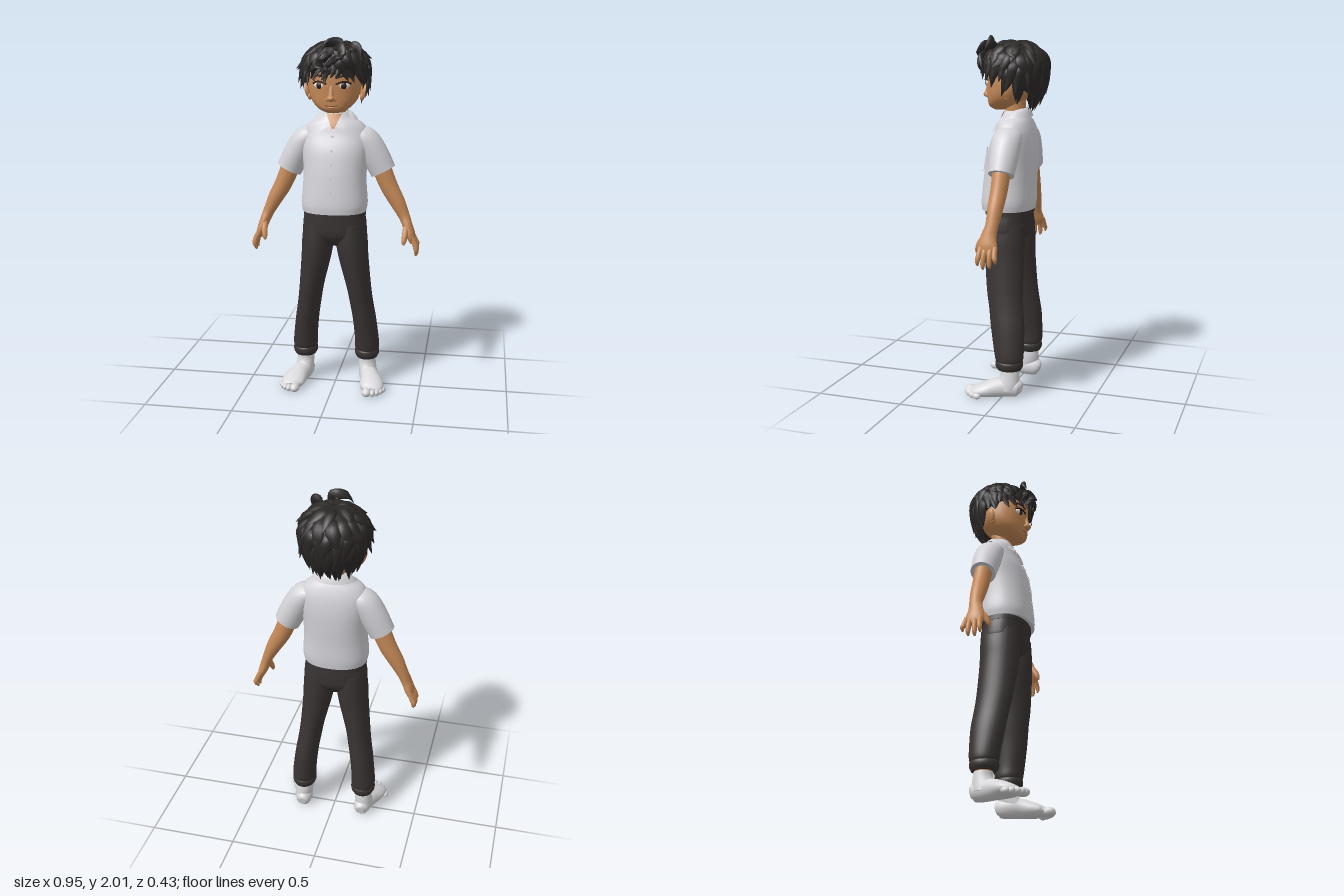
import * as THREE from 'three';
import { mergeGeometries, mergeVertices } from 'three/addons/utils/BufferGeometryUtils.js';

const material = (name, color, side = THREE.FrontSide) =>
  Object.assign(new THREE.MeshStandardMaterial({ color, side }), { name });
const V = (x, y, z) => new THREE.Vector3(x, y, z);
const se = (c, n) => Math.sign(c) * Math.pow(Math.abs(c), 2 / n);

// Smooth position and size curves through rings [x, y, z, halfWidth, halfDepth]
function ringCurves(keys) {
  const curve = f => new THREE.CatmullRomCurve3(keys.map(f), false, 'catmullrom', 0.5);
  return [curve(k => V(k[0], k[1], k[2])), curve(k => V(k[3], k[4], 0))];
}

// Closed skin over elliptical rings; flat keeps the rings level
function loft(keys, { seg = 24, sub = 4, flat = false, pow = 2, ref = V(1, 0, 0) } = {}) {
  const [path, size] = ringCurves(keys), n = (keys.length - 1) * sub, pos = [], idx = [];
  for (let i = 0; i <= n; i++) {
    const p = path.getPoint(i / n), s = size.getPoint(i / n);
    const t = flat ? V(0, -1, 0) : path.getTangent(i / n);
    const u = ref.clone().addScaledVector(t, -ref.dot(t)).normalize(), v = t.clone().cross(u);
    for (let j = 0; j < seg; j++) {
      const a = (j / seg) * Math.PI * 2;
      const q = p.clone().addScaledVector(u, Math.max(s.x, 0.001) * se(Math.cos(a), pow))
        .addScaledVector(v, Math.max(s.y, 0.001) * se(Math.sin(a), pow));
      pos.push(q.x, q.y, q.z);
      if (i < n) {
        const k = (j + 1) % seg, A = i * seg + j, B = i * seg + k;
        idx.push(A, B, B + seg, A, B + seg, A + seg);
      }
    }
  }
  // end caps
  for (const i of [0, n]) {
    const base = pos.length / 3, p = path.getPoint(i / n);
    for (let j = 0; j < seg; j++) pos.push(...pos.slice((i * seg + j) * 3, (i * seg + j) * 3 + 3));
    pos.push(p.x, p.y, p.z);
    for (let j = 0; j < seg; j++) {
      const k = (j + 1) % seg;
      idx.push(base + seg, base + (i ? j : k), base + (i ? k : j));
    }
  }
  return finish(pos, idx);
}

function finish(pos, idx) {
  const g = new THREE.BufferGeometry();
  g.setAttribute('position', new THREE.Float32BufferAttribute(pos, 3));
  g.setIndex(idx);
  g.computeVertexNormals();
  return g;
}

// Sheet from a function f(u, v) -> [x, y, z]
function sheet(f, nu, nv) {
  const pos = [], idx = [];
  for (let j = 0; j <= nv; j++) for (let i = 0; i <= nu; i++) {
    pos.push(...f(i / nu, j / nv));
    if (i < nu && j < nv) {
      const a = j * (nu + 1) + i, b = a + nu + 1;
      idx.push(a, a + 1, b + 1, a, b + 1, b);
    }
  }
  return finish(pos, idx);
}

// Front z of a level loft at (x, y)
function frontZ(keys, pow, x, y) {
  const [path, size] = ringCurves(keys);
  let lo = 0, hi = 1;
  for (let i = 0; i < 24; i++) {
    const m = (lo + hi) / 2;
    if (path.getPoint(m).y > y) lo = m; else hi = m;
  }
  const s = size.getPoint(lo), r = Math.min(1, Math.abs(x / s.x));
  return path.getPoint(lo).z + s.y * Math.pow(1 - Math.pow(r, pow), 1 / pow);
}

function blob(x, y, z, rx, ry, rz, yaw = 0, roll = 0) {
  return new THREE.SphereGeometry(1, 20, 14).scale(rx, ry, rz).rotateZ(roll).rotateY(yaw).translate(x, y, z);
}

function tube(points, r, seg = 12) {
  return new THREE.TubeGeometry(new THREE.CatmullRomCurve3(points.map(p => V(...p))), seg, r, 6);
}

function mirror(geo) {
  const g = geo.clone().scale(-1, 1, 1), ix = g.index.array;
  for (let i = 0; i < ix.length; i += 3) [ix[i], ix[i + 1]] = [ix[i + 1], ix[i]];
  return g;
}

// Hair shell: azimuth a (sin a = 1 at the front), polar angle p, radius factor r
const hairPoint = (a, p, r) => V(
  -0.185 * r * Math.cos(a) * Math.sin(p),
  1.83 + (Math.cos(p) > 0 ? 0.147 : 0.24) * r * Math.cos(p),
  -0.01 + 0.177 * r * Math.sin(a) * Math.sin(p));
const hairEnd = a => 1.92 - (Math.sin(a) > 0 ? 0.27 : 0.63) * Math.sin(a);

function buildHair() {
  let seed = 7;
  const rnd = () => (seed = (seed * 16807) % 2147483647) / 2147483647;
  // scalp cap, tucked in along its lower edge
  let cap = new THREE.SphereGeometry(1, 40, 24);
  const P = cap.attributes.position, U = cap.attributes.uv;
  for (let i = 0; i < P.count; i++) {
    const a = U.getX(i) * Math.PI * 2, v = Math.min(1, Math.max(0, Math.round((1 - U.getY(i)) * 24) / 24));
    const q = hairPoint(a, v * hairEnd(a) * 0.95, v > 0.97 ? 0.5 : 0.97);
    P.setXYZ(i, q.x, q.y, q.z);
  }
  cap.deleteAttribute('uv'); cap.deleteAttribute('normal');
  cap = mergeVertices(cap);
  cap.computeVertexNormals();
  const parts = [cap];
  const lock = (pts, w, ref) => {
    const ws = [0.55, 1, 0.8, 0.06];
    parts.push(loft(pts.map((p, i) => [p.x, p.y, p.z, w * ws[i], w * 0.5 * ws[i]]), { seg: 8, sub: 4, ref }));
  };
  // tiers of pointed locks flowing out from the crown
  const tiers = [[9, 0.04, 0.48, 0.034], [15, 0.22, 0.68, 0.034], [21, 0.42, 0.86, 0.032], [27, 0.58, 1.02, 0.028], [27, 0.7, 1.1, 0.022]];
  tiers.forEach(([n, from, to, w], k) => {
    for (let i = 0; i < n; i++) {
      const a = ((i + 0.5 * (k % 2) + (rnd() - 0.5) * 0.5) / n) * Math.PI * 2, e = hairEnd(a);
      const bend = (rnd() - 0.5) * 0.55, lift = (k ? 0.05 : 0) + rnd() * 0.11, f0 = from + rnd() * 0.05, f1 = to - rnd() * 0.08;
      const pts = [0, 0.35, 0.7, 1].map((t, j) =>
        hairPoint(a + bend * t * t, (f0 + (f1 - f0) * t) * e, [0.94, 1.0, 1.02, 1.01 + lift][j]));
      lock(pts, w * (0.85 + rnd() * 0.3), V(Math.sin(a), 0, Math.cos(a)));
    }
  });
  // curled tuft and long fringe sweeping over the forehead
  const sweep = [
    [[0.06, 1.92, 0.14], [0.04, 1.98, 0.12], [-0.03, 1.975, 0.14], [-0.06, 1.92, 0.175]],
    [[0.0, 1.95, 0.1], [0.05, 1.96, 0.15], [0.06, 1.91, 0.18], [0.0, 1.87, 0.195]],
    [[0.0, 1.92, 0.15], [-0.04, 1.89, 0.175], [-0.08, 1.85, 0.17], [-0.11, 1.79, 0.15]],
    [[0.02, 1.91, 0.15], [0.0, 1.88, 0.18], [-0.03, 1.84, 0.18], [-0.06, 1.8, 0.17]],
    [[0.04, 1.92, 0.15], [0.08, 1.89, 0.165], [0.11, 1.85, 0.15], [0.12, 1.79, 0.135]],
    [[0.02, 1.91, 0.15], [0.04, 1.88, 0.18], [0.06, 1.85, 0.18], [0.045, 1.81, 0.175]],
    [[0.08, 1.93, 0.08], [0.11, 1.96, 0.09], [0.14, 1.95, 0.1], [0.155, 1.91, 0.12]]];
  sweep.forEach(s => lock(s.map(p => V(...p)), 0.028, V(0.6, 0.8, 0.1)));
  return mergeGeometries(parts.map(g => { g.deleteAttribute('uv'); return g; }));
}

export function createModel() {
  const model = new THREE.Group();
  const skin = material('skin', 0xc68a58, THREE.DoubleSide), shirt = material('shirt white', 0xd3d3d8, THREE.DoubleSide);
  const sock = material('sock white', 0xd8d8da), pants = material('trouser charcoal', 0x3a3434, THREE.DoubleSide);
  const hair = material('hair black', 0x2b2727), white = material('eye white', 0xe6e0da);
  const iris = material('iris brown', 0x2c1c16), lip = material('lip', 0x8f5238);
  const add = (name, geo, mat) => {
    const m = new THREE.Mesh(geo, mat);
    m.name = name;
    model.add(m);
  };
  const pair = (name, geo, mat) => { add(name + 'Left', geo, mat); add(name + 'Right', mirror(geo), mat); };

  // head
  const headKeys = [[0, 1.93, 0, 0.08, 0.08], [0, 1.86, 0, 0.132, 0.146], [0, 1.78, 0.006, 0.143, 0.147], [0, 1.71, 0.016, 0.139, 0.133],
    [0, 1.66, 0.04, 0.118, 0.106], [0, 1.625, 0.063, 0.08, 0.077], [0, 1.605, 0.075, 0.035, 0.04]];
  const face = (x, y) => frontZ(headKeys, 2.15, x, y);
  add('head', loft(headKeys, { seg: 36, flat: true, pow: 2.15 }), skin);
  add('nose', blob(0, 1.688, 0.153, 0.022, 0.018, 0.027), skin);
  add('noseBridge', loft([[0, 1.765, 0.142, 0.008, 0.008], [0, 1.73, 0.15, 0.012, 0.012], [0, 1.69, 0.16, 0.016, 0.014]], { seg: 12 }), skin);
  pair('nostril', blob(0.018, 1.683, 0.149, 0.012, 0.011, 0.014), skin);
  pair('ear', blob(0.153, 1.715, -0.02, 0.016, 0.047, 0.034, 0.45, -0.2), skin);
  pair('earLobe', blob(0.146, 1.682, -0.008, 0.012, 0.02, 0.018), skin);
  pair('eyeball', blob(0.065, 1.756, 0.129, 0.034, 0.02, 0.016, 0.3), white);
  pair('iris', blob(0.065, 1.756, 0.1345, 0.02, 0.019, 0.013, 0.25), iris);
  const arc = (f, off) => [0.025, 0.045, 0.065, 0.085, 0.103].map((x, i) => [x, f(i), face(x, f(i)) + off]);
  pair('eyelash', tube(arc(i => 1.763 + [0, 0.01, 0.014, 0.011, 0.002][i], 0.003), 0.005), iris);
  pair('eyebrow', tube(arc(i => 1.797 + [0, 0.007, 0.011, 0.01, 0.002][i], 0), 0.006), hair);
  add('mouth', tube([-0.035, -0.018, 0, 0.018, 0.035].map((x, i) => [x, 1.647 + [0.004, 0, -0.001, 0, 0.004][i], face(x, 1.647)]), 0.003), lip);
  add('lowerLip', blob(0, 1.638, 0.138, 0.02, 0.008, 0.012), skin);
  add('hair', buildHair(), hair);
  add('neck', loft([[0, 1.69, -0.01, 0.06, 0.06], [0, 1.6, -0.008, 0.056, 0.056], [0, 1.5, -0.01, 0.06, 0.058]], { flat: true }), skin);

  // shirt
  const shirtKeys = [[0, 1.6, -0.01, 0.066, 0.058], [0, 1.57, -0.012, 0.1, 0.073], [0, 1.535, -0.012, 0.155, 0.09], [0, 1.48, -0.012, 0.185, 0.108],
    [0, 1.4, 0, 0.188, 0.13], [0, 1.3, 0.012, 0.178, 0.14], [0, 1.2, 0.022, 0.178, 0.144], [0, 1.1, 0.028, 0.186, 0.148], [0, 1.05, 0.03, 0.179, 0.144]];
  const chest = (x, y, off) => [x, y, frontZ(shirtKeys, 2.3, x, y) + off];
  add('shirtBody', loft(shirtKeys, { seg: 40, flat: true, pow: 2.3 }), shirt);
  pair('sleeve', loft([[0.12, 1.475, -0.015, 0.05, 0.075], [0.17, 1.445, -0.015, 0.072, 0.083], [0.22, 1.365, -0.015, 0.077, 0.08],
    [0.268, 1.272, -0.015, 0.073, 0.071]]), shirt);
  add('placket', sheet((u, v) => chest(-0.022 + 0.044 * u, 1.055 + 0.46 * v, 0.007), 4, 24), shirt);
  add('openNeck', sheet((u, v) => chest((u - 0.5) * (0.01 + 0.075 * v), 1.51 + 0.085 * v, 0.004), 6, 8), skin);
  add('chestPocket', sheet((u, v) => {
    const low = 1.268 + 0.025 * Math.abs(2 * u - 1);
    return chest(0.055 + 0.1 * u, low + (1.395 - low) * v, 0.007);
  }, 8, 8), shirt);
  add('pocketHem', sheet((u, v) => chest(0.053 + 0.104 * u, 1.375 + 0.022 * v, 0.01), 8, 2), shirt);
  for (let i = 0; i < 6; i++) {
    const [x, y, z] = chest(0, 1.1 + i * 0.075, 0.008);
    add('button' + (i + 1), new THREE.CylinderGeometry(0.006, 0.006, 0.005, 10).rotateX(Math.PI / 2).translate(x, y, z), shirt);
  }
  // collar wraps the neck and falls to two points
  add('collar', sheet((s, t) => {
    const a = (2 * s - 1) * Math.PI * 0.96, k = Math.pow((1 - Math.cos(a)) / 2, 2), b = a * 0.8;
    const top = V(0.07 * Math.sin(a), 1.615 - 0.085 * k, -0.012 - 0.068 * Math.cos(a) + 0.032 * k);
    const low = V(0.125 * Math.sin(b), 1.57 - 0.085 * k * k, -0.012 - 0.092 * Math.cos(b) + 0.045 * k);
    const p = top.lerp(low, t);
    p.y += 0.01 * Math.sin(Math.PI * t);
    return [p.x, p.y, p.z];
  }, 48, 5), shirt);

  // arms and hands
  pair('arm', loft([[0.25, 1.31, -0.015, 0.054, 0.05], [0.3, 1.19, -0.014, 0.05, 0.046], [0.35, 1.1, -0.01, 0.043, 0.042],
    [0.39, 1.02, -0.006, 0.032, 0.036], [0.412, 0.965, 0.004, 0.028, 0.043], [0.43, 0.915, 0.006, 0.026, 0.054], [0.442, 0.875, 0.004, 0.016, 0.046]]), skin);
  [[0.04, 0.05, 0.815], [0.015, 0.02, 0.797], [-0.014, -0.016, 0.803], [-0.038, -0.048, 0.83]].forEach(([z0, z1, y], i) =>
    pair('finger' + (i + 1), loft([[0.435, 0.915, z0, 0.014, 0.014], [0.457, 0.868, (z0 + z1) / 2, 0.015, 0.014],
      [0.464, y + 0.022, z1, 0.013, 0.012], [0.459, y, z1, 0.005, 0.005]], { seg: 10 }), skin));
  pair('thumb', loft([[0.405, 0.965, 0.025, 0.017, 0.018], [0.402, 0.925, 0.055, 0.017, 0.018], [0.397, 0.89, 0.073, 0.014, 0.013],
    [0.395, 0.87, 0.079, 0.005, 0.005]], { seg: 10 }), skin);

  // trousers
  const hipKeys = [[0, 1.09, 0.024, 0.168, 0.128], [0, 1.03, 0.023, 0.172, 0.124], [0, 0.97, 0.022, 0.18, 0.122], [0, 0.91, 0.022, 0.172, 0.113],
    [0, 0.855, 0.022, 0.08, 0.07]];
  const hip = (x, y, off) => [x, y, frontZ(hipKeys, 2.3, x, y) + off];
  add('trouserHips', loft(hipKeys, { seg: 36, flat: true, pow: 2.3 }), pants);
  add('waistband', loft([[0, 1.065, 0.024, 0.174, 0.131], [0, 1.025, 0.024, 0.176, 0.13]], { seg: 36, flat: true, pow: 2.3 }), pants);
  add('fly', sheet((u, v) => hip(0.03 * u - 0.005, 0.91 + 0.12 * v, 0.006), 2, 6), pants);
  pair('trouserLeg', loft([[0.092, 0.98, 0.022, 0.084, 0.112], [0.097, 0.88, 0.022, 0.09, 0.115], [0.107, 0.78, 0.021, 0.085, 0.112],
    [0.137, 0.6, 0.009, 0.07, 0.104], [0.152, 0.5, -0.004, 0.067, 0.099], [0.168, 0.4, -0.017, 0.067, 0.097], [0.181, 0.28, -0.028, 0.069, 0.087],
    [0.183, 0.225, -0.032, 0.071, 0.081], [0.183, 0.203, -0.032, 0.066, 0.073]], { seg: 28, flat: true }), pants);
  pair('trouserCuff', loft([[0.183, 0.215, -0.032, 0.062, 0.07], [0.183, 0.2, -0.032, 0.071, 0.079], [0.183, 0.178, -0.032, 0.07, 0.078],
    [0.183, 0.158, -0.032, 0.06, 0.068]], { seg: 28, flat: true }), pants);

  // ankles and socked feet
  pair('ankle', loft([[0.185, 0.2, -0.035, 0.044, 0.048], [0.185, 0.13, -0.035, 0.044, 0.048]], { flat: true }), skin);
  const foot = mergeGeometries([
    loft([[0.184, 0.153, -0.036, 0.047, 0.052], [0.185, 0.12, -0.036, 0.05, 0.056], [0.19, 0.08, -0.025, 0.052, 0.068], [0.197, 0.045, -0.01, 0.052, 0.075]], { flat: true }),
    loft([[0.184, 0.045, -0.104, 0.02, 0.025], [0.183, 0.05, -0.085, 0.042, 0.048], [0.188, 0.054, -0.03, 0.052, 0.058], [0.208, 0.05, 0.03, 0.056, 0.055],
      [0.225, 0.04, 0.09, 0.067, 0.045], [0.234, 0.03, 0.14, 0.064, 0.033], [0.232, 0.024, 0.175, 0.04, 0.02]]),
    ...[[0.209, 0.022, 0.188, 0.027, 0.025, 0.036], [0.243, 0.02, 0.187, 0.017, 0.02, 0.028], [0.266, 0.019, 0.172, 0.016, 0.019, 0.027],
      [0.284, 0.018, 0.15, 0.015, 0.018, 0.026], [0.297, 0.017, 0.125, 0.014, 0.017, 0.024]].map(t => blob(...t)),
  ].map(g => { g.deleteAttribute('uv'); return g; }));
  const fp = foot.attributes.position;
  for (let i = 0; i < fp.count; i++) fp.setY(i, Math.max(0, fp.getY(i)));
  foot.computeVertexNormals();
  pair('sockFoot', foot, sock);
  return model;
}
